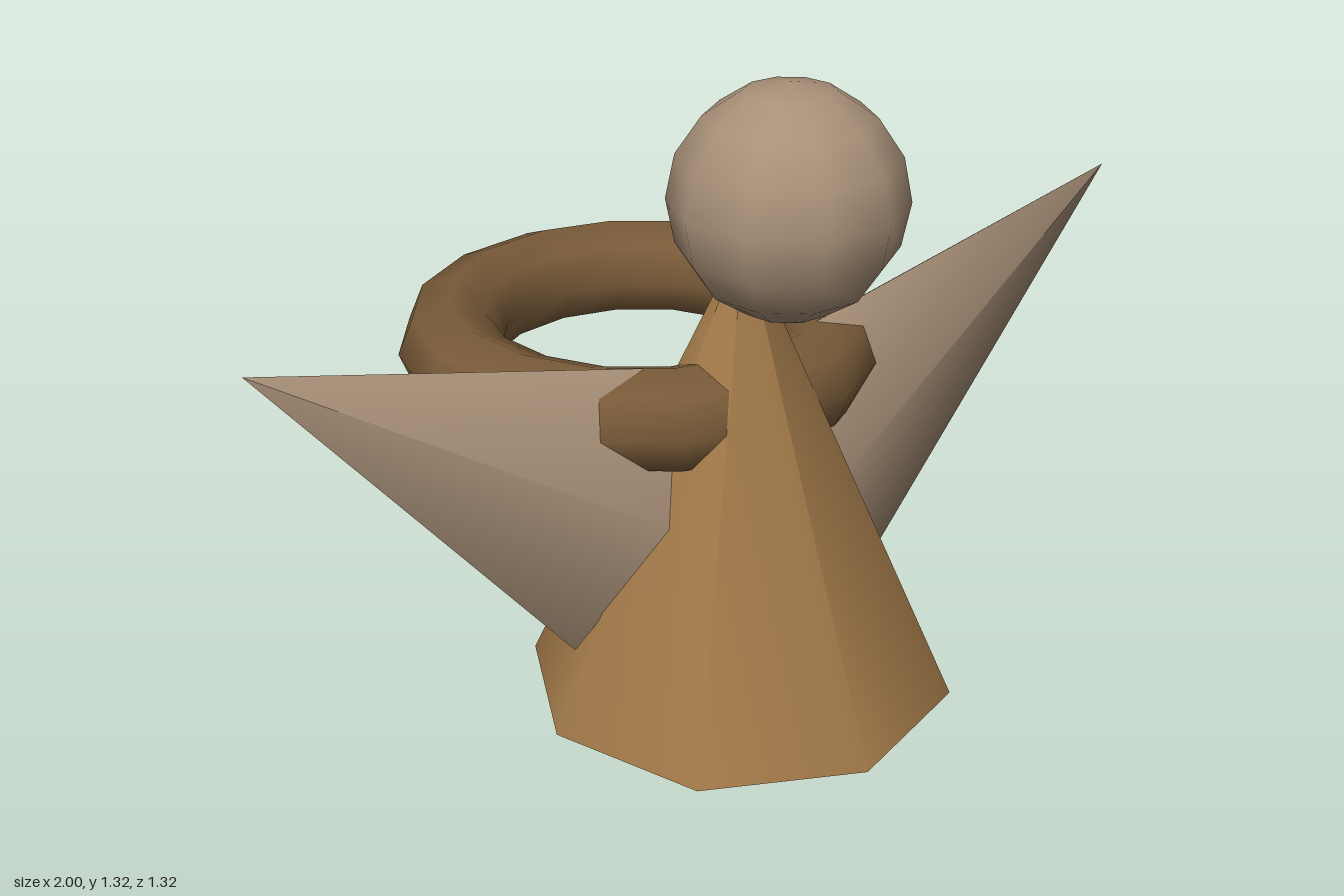
import * as THREE from 'three';

const material = (color) => new THREE.MeshStandardMaterial({ color });

export function createModel() {
  const model = new THREE.Group();
  const skin = material(0xa89078);
  const cloth = material(0xa07848);
  const ringBrown = material(0x785a38);

  const add = (name, geometry, mat, x, y, z) => {
    const mesh = new THREE.Mesh(geometry, mat);
    mesh.name = name;
    mesh.position.set(x, y, z);
    model.add(mesh);
    return mesh;
  };

  // Eight-sided conical body
  const bodyHeight = 0.975;
  add('body', new THREE.ConeGeometry(0.44, bodyHeight, 8), cloth, 0, bodyHeight / 2, 0.22);

  // Round head sitting over the tip of the body
  add('head', new THREE.SphereGeometry(0.2275, 10, 8), skin, 0, 1.0875, 0.36);

  // Horizontal ring passing through the body
  const ring = add('ring', new THREE.TorusGeometry(0.4, 0.108, 8, 16), ringBrown, 0, 0.622, -0.154);
  ring.rotation.x = Math.PI / 2;

  // Wings: flattened five-sided cones pointing out and up
  const wingHeight = 0.917;
  const tilt = THREE.MathUtils.degToRad(59);
  for (const side of [1, -1]) {
    const x = side * (1 - Math.sin(tilt) * wingHeight / 2);
    const y = 0.9 - Math.cos(tilt) * wingHeight / 2;
    const wing = add(side > 0 ? 'leftWing' : 'rightWing',
      new THREE.ConeGeometry(0.33, wingHeight, 5), skin, x, y, 0.145);
    wing.scale.z = 0.44;
    wing.rotation.z = -side * tilt;
  }

  return model;
}
